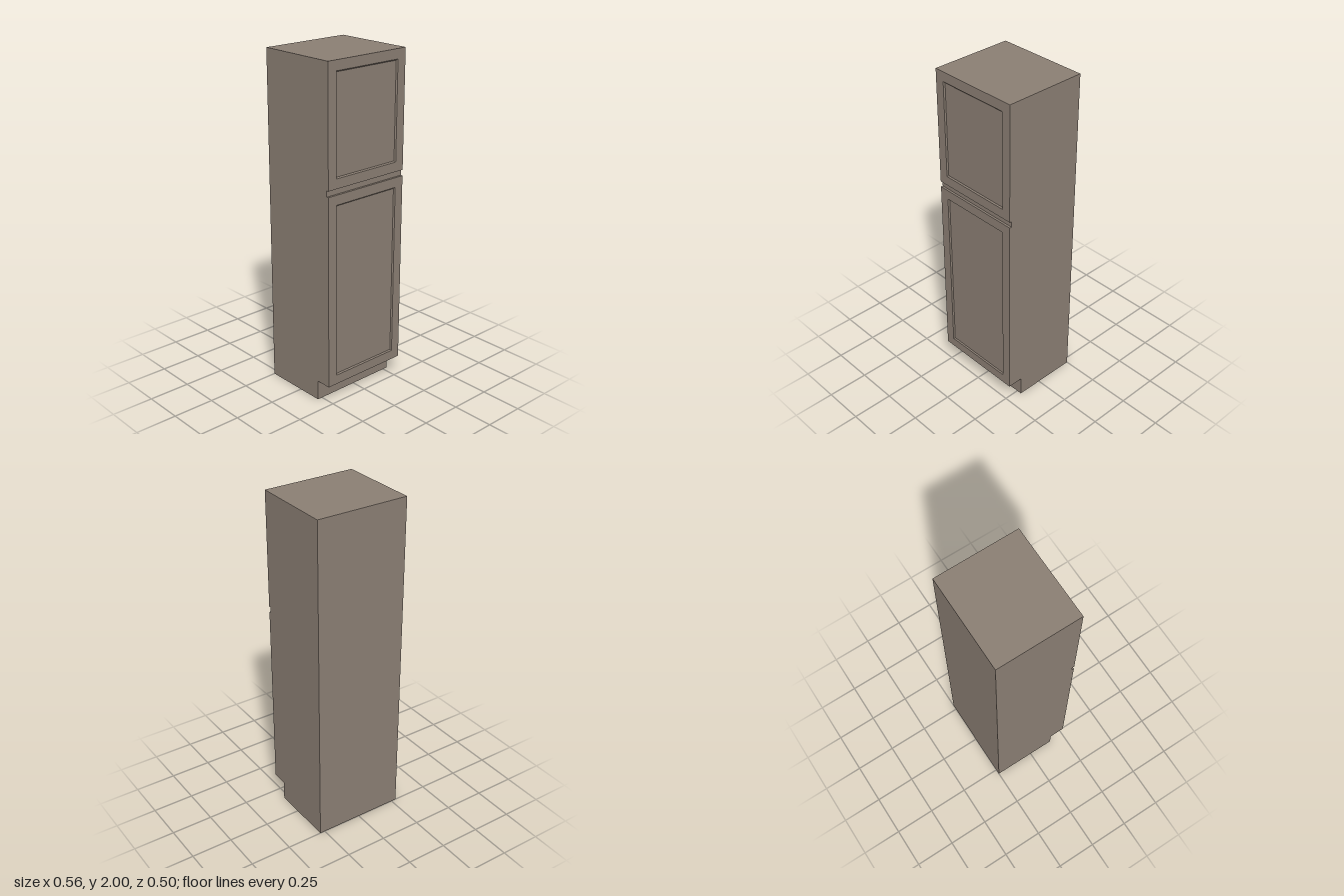
import * as THREE from 'three';

const HALF_W = 0.281, BACK = -0.25, CARCASS_FRONT = 0.237, DOOR_FRONT = 0.25;
const TOE_Z = 0.155, TOE_H = 0.12, HEIGHT = 2;

// Door: rectangular loops from the back edge to the recessed panel, closed by a cap at each end
function doorGeometry(y0, y1) {
  const loops = [
    [0, CARCASS_FRONT], [0, DOOR_FRONT],
    [0.057, DOOR_FRONT], [0.064, DOOR_FRONT - 0.007],
  ].map(([inset, z]) => {
    const x = HALF_W - inset, b = y0 + inset, t = y1 - inset;
    return [[-x, b, z], [x, b, z], [x, t, z], [-x, t, z]];
  });
  const positions = [];
  const quad = (a, b, c, d) => positions.push(...a, ...b, ...c, ...a, ...c, ...d);
  for (let i = 0; i < loops.length - 1; i++) {
    for (let j = 0; j < 4; j++) {
      const k = (j + 1) % 4;
      quad(loops[i][j], loops[i][k], loops[i + 1][k], loops[i + 1][j]);
    }
  }
  quad(...loops[loops.length - 1]);
  quad(...[...loops[0]].reverse());
  const geometry = new THREE.BufferGeometry();
  geometry.setAttribute('position', new THREE.Float32BufferAttribute(positions, 3));
  geometry.computeVertexNormals();
  return geometry;
}

export function createModel() {
  const group = new THREE.Group();
  group.name = 'tallCabinet';
  const material = new THREE.MeshStandardMaterial({ color: 0x8a7e73 });
  const add = (name, geometry) => {
    const mesh = new THREE.Mesh(geometry, material);
    mesh.name = name;
    group.add(mesh);
  };

  // Carcass: side profile with a toe-kick notch, extruded across the width
  const profile = new THREE.Shape([
    [BACK, 0], [TOE_Z, 0], [TOE_Z, TOE_H], [CARCASS_FRONT, TOE_H],
    [CARCASS_FRONT, HEIGHT], [BACK, HEIGHT],
  ].map(([z, y]) => new THREE.Vector2(z, y)));
  const carcass = new THREE.ExtrudeGeometry(profile, { depth: HALF_W * 2, bevelEnabled: false });
  carcass.rotateY(-Math.PI / 2).translate(HALF_W, 0, 0);
  add('carcass', carcass);

  // Doors with recessed panels
  add('lowerDoor', doorGeometry(TOE_H, 1.27));
  add('upperDoor', doorGeometry(1.305, HEIGHT));

  return group;
}
